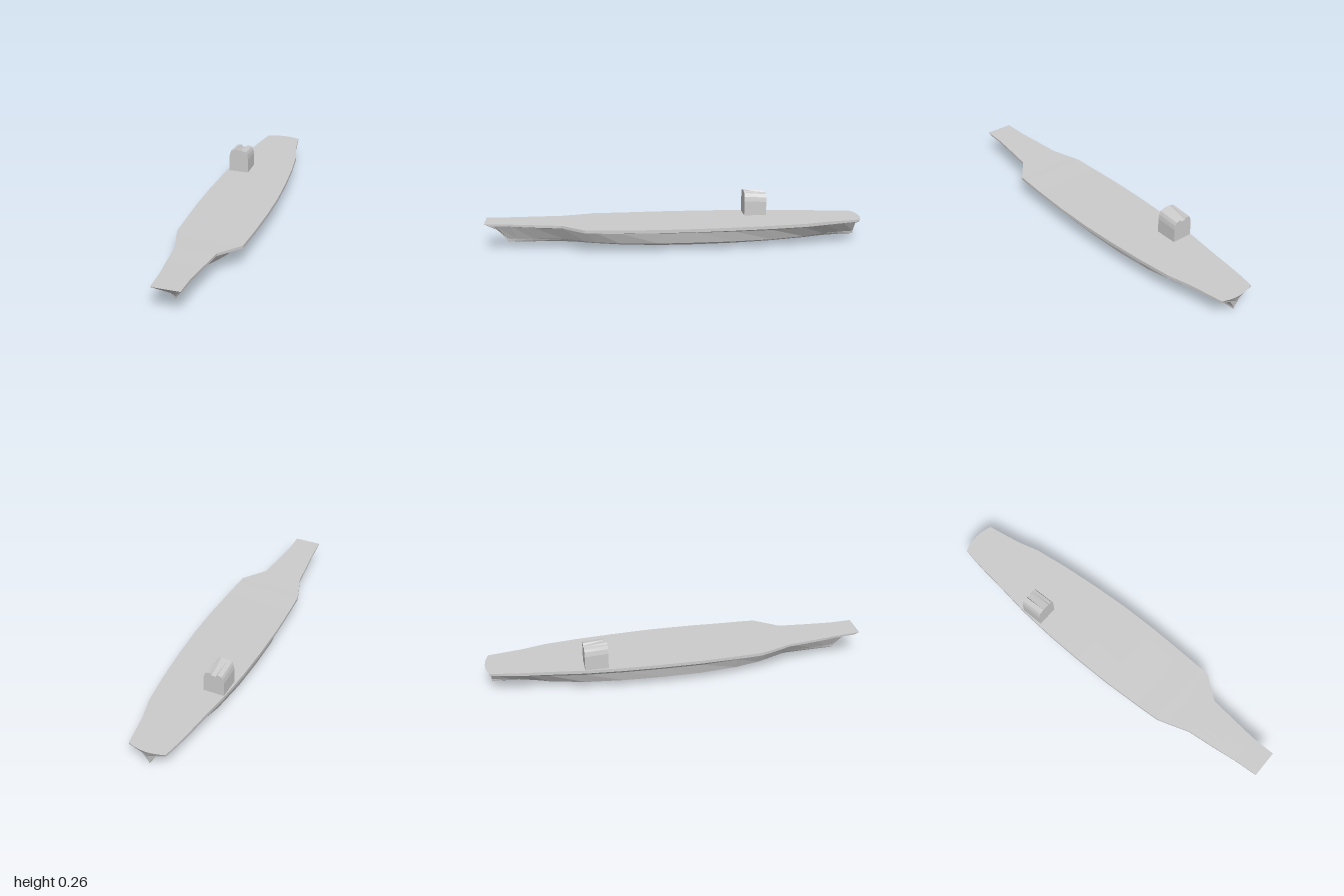
import * as THREE from 'three';

const CX = -0.017; // hull centreline
const material = new THREE.MeshStandardMaterial({ color: 0xcccccc, flatShading: true, side: THREE.DoubleSide });

// Skin closed rings (counter-clockwise from the front, ordered back to front) and cap both ends
function loft(name, rings) {
  const pos = [], idx = [], n = rings[0].length;
  rings.forEach(r => r.forEach(p => pos.push(...p)));
  for (let i = 0; i < rings.length - 1; i++) {
    for (let j = 0; j < n; j++) {
      const k = (j + 1) % n, a = i * n + j, b = i * n + k, c = b + n, d = a + n;
      idx.push(a, b, c, a, c, d);
    }
  }
  [0, rings.length - 1].forEach((ri, end) => {
    const center = [0, 1, 2].map(k => rings[ri].reduce((s, p) => s + p[k], 0) / n);
    const ci = pos.length / 3;
    pos.push(...center);
    for (let j = 0; j < n; j++) {
      const a = ri * n + j, b = ri * n + (j + 1) % n;
      if (end) idx.push(ci, a, b); else idx.push(ci, b, a);
    }
  });
  const indexed = new THREE.BufferGeometry();
  indexed.setAttribute('position', new THREE.Float32BufferAttribute(pos, 3));
  indexed.setIndex(idx);
  const geo = indexed.toNonIndexed();
  geo.computeVertexNormals();
  const mesh = new THREE.Mesh(geo, material);
  mesh.name = name;
  return mesh;
}

// One hull section: deck, overhanging edge, side wall, chine and rounded bottom
function section([z, keelZ, keelY, chineH, chineY, wallH, wallY, right, left, deckY], i) {
  const ring = [];
  const edgeY = deckY - Math.min(0.017, (deckY - wallY) * 0.55);
  const add = (x, y) => {
    const t = THREE.MathUtils.clamp((y - keelY) / (deckY - keelY), 0, 1);
    ring.push([x, y, keelZ + (z - keelZ) * Math.pow(t, 2.5)]);
  };
  const bottom = f => keelY + (chineY - keelY) * f * f;
  for (let k = 0; k <= 6; k++) {
    add(left + (right - left) * k / 6, deckY);
    if (i === 0) ring[k][2] -= 0.02 * (1 - (k / 3 - 1) ** 2); // rounded stern edge
  }
  add(right, edgeY);
  add(CX - wallH, wallY);
  for (const f of [-1, -0.75, -0.5, -0.25, 0, 0.25, 0.5, 0.75, 1]) add(CX + chineH * f, bottom(f));
  add(CX + wallH, wallY);
  add(left, edgeY);
  return ring;
}

// z, keel z, keel y, chine half-width, chine y, wall half-width, wall y, deck right x, deck left x, deck y
const stations = [
  [-0.98, -0.97, 0.030, 0.003, 0.045, 0.045, 0.112, -0.112, 0.080, 0.132],
  [-0.90, -0.90, 0.029, 0.012, 0.045, 0.062, 0.108, -0.126, 0.093, 0.132],
  [-0.80, -0.80, 0.026, 0.035, 0.044, 0.090, 0.102, -0.140, 0.110, 0.132],
  [-0.68, -0.68, 0.020, 0.080, 0.043, 0.120, 0.100, -0.153, 0.142, 0.132],
  [-0.50, -0.50, 0.012, 0.122, 0.042, 0.147, 0.100, -0.177, 0.165, 0.132],
  [-0.30, -0.30, 0.005, 0.143, 0.042, 0.160, 0.100, -0.191, 0.182, 0.132],
  [-0.10, -0.10, 0.002, 0.150, 0.042, 0.165, 0.100, -0.196, 0.193, 0.132],
  [0.10, 0.10, 0.003, 0.149, 0.042, 0.165, 0.100, -0.196, 0.194, 0.132],
  [0.30, 0.30, 0.011, 0.128, 0.042, 0.153, 0.102, -0.188, 0.188, 0.132],
  [0.43, 0.43, 0.019, 0.098, 0.043, 0.132, 0.104, -0.181, 0.182, 0.134],
  [0.48, 0.48, 0.022, 0.080, 0.044, 0.117, 0.106, -0.166, 0.179, 0.134],
  [0.60, 0.60, 0.027, 0.028, 0.048, 0.070, 0.112, -0.126, 0.086, 0.137],
  [0.75, 0.75, 0.029, 0.015, 0.048, 0.052, 0.116, -0.111, 0.069, 0.140],
  [0.88, 0.84, 0.030, 0.008, 0.048, 0.040, 0.122, -0.096, 0.056, 0.143],
  [1.00, 0.88, 0.031, 0.002, 0.046, 0.026, 0.126, -0.090, 0.055, 0.147],
];

// Tower outline: x, y at the front, y at the back (roof slopes aft with a groove)
const towerProfile = [
  [-0.063, 0.125, 0.125], [-0.063, 0.210, 0.205], [-0.067, 0.235, 0.228], [-0.075, 0.254, 0.245],
  [-0.092, 0.257, 0.248], [-0.100, 0.262, 0.250], [-0.106, 0.262, 0.238], [-0.130, 0.262, 0.238],
  [-0.138, 0.262, 0.250], [-0.147, 0.257, 0.248], [-0.162, 0.255, 0.245], [-0.168, 0.240, 0.232],
  [-0.173, 0.215, 0.208], [-0.173, 0.125, 0.125],
];

export function createModel() {
  const model = new THREE.Group();
  model.name = 'ship';
  model.add(loft('hullAndFlightDeck', stations.map(section)));
  model.add(loft('islandTower', [
    towerProfile.map(([x, , yb]) => [x, yb, -0.50]),
    towerProfile.map(([x, yf]) => [x, yf, -0.38]),
  ]));
  return model;
}
